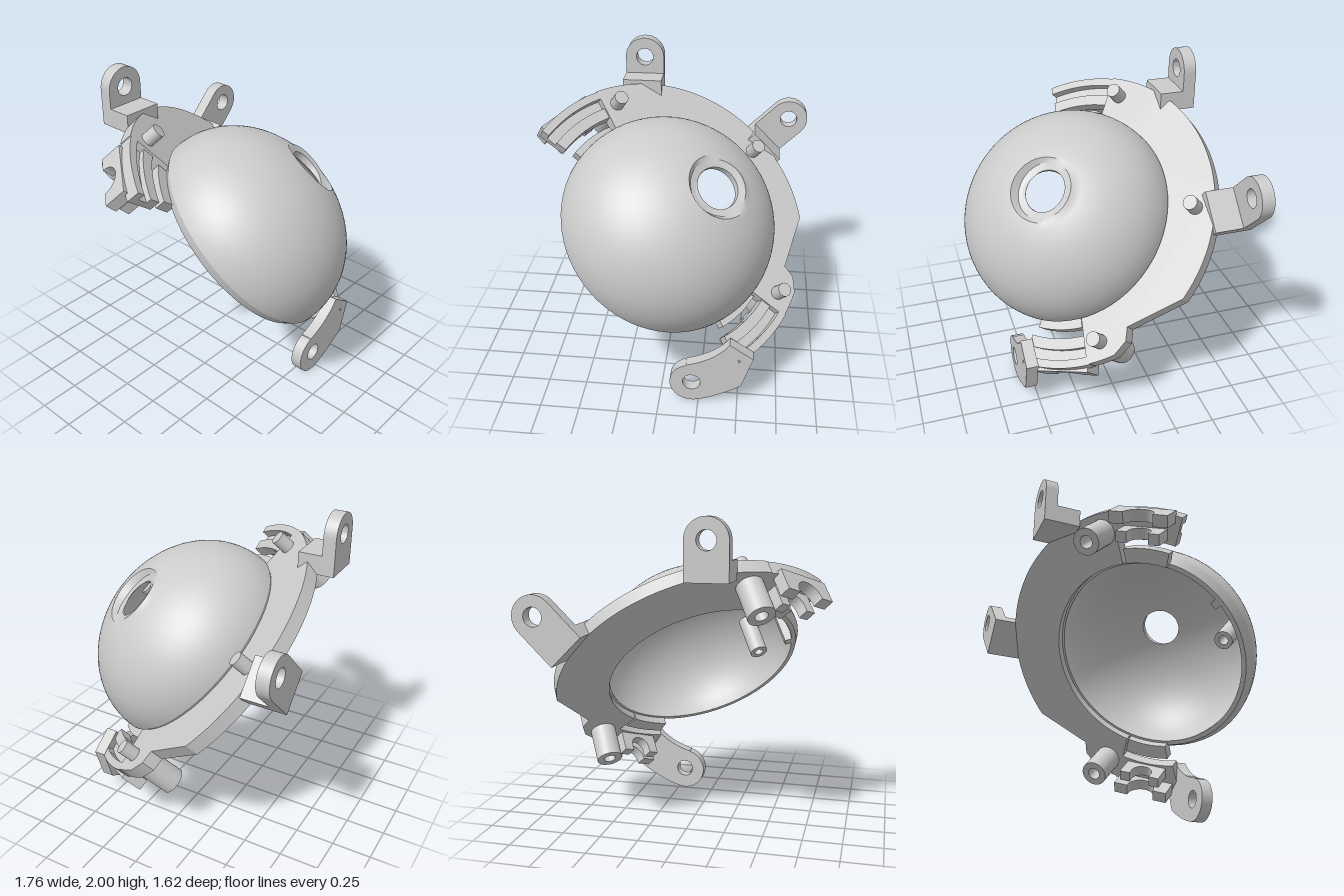
import * as THREE from 'three';
import { toCreasedNormals } from 'three/addons/utils/BufferGeometryUtils.js';

const grey = new THREE.MeshStandardMaterial({ color: 0xcccccc, side: THREE.DoubleSide });
const rad = THREE.MathUtils.degToRad;

function add(parent, name, geometry) {
  const mesh = new THREE.Mesh(geometry, grey);
  mesh.name = name;
  parent.add(mesh);
  return mesh;
}

// Extrude a shape between two heights along z
function slab(shape, z0, z1) {
  const g = new THREE.ExtrudeGeometry(shape, { depth: z1 - z0, bevelEnabled: false, curveSegments: 40 });
  return toCreasedNormals(g.translate(0, 0, z0), 0.5);
}

// Annular sector between two radii and two angles (degrees)
function sector(r0, r1, a0, a1) {
  const s = new THREE.Shape();
  s.absarc(0, 0, r1, rad(a0), rad(a1), false);
  s.absarc(0, 0, r0, rad(a1), rad(a0), true);
  return s;
}

// Closed surface through circular loops { x, y, r, z(x, y) }
function loft(loops, n = 72) {
  const pos = [], idx = [];
  for (const l of loops) {
    for (let i = 0; i < n; i++) {
      const t = (i / n) * Math.PI * 2;
      const x = l.x + l.r * Math.cos(t), y = l.y + l.r * Math.sin(t);
      pos.push(x, y, l.z(x, y));
    }
  }
  for (let j = 0; j < loops.length; j++) {
    const k = (j + 1) % loops.length;
    for (let i = 0; i < n; i++) {
      const m = (i + 1) % n;
      const a = j * n + i, b = j * n + m, c = k * n + m, d = k * n + i;
      idx.push(a, b, c, a, c, d);
    }
  }
  const g = new THREE.BufferGeometry();
  g.setAttribute('position', new THREE.Float32BufferAttribute(pos, 3));
  g.setIndex(idx);
  return toCreasedNormals(g, 0.45);
}

// Hollow flattened dome with an off-centre countersunk hole
function domeGeometry() {
  const cx = 0.134, cy = 0.03, rows = 28;
  const skin = (R, b, rHole) => {
    const out = [], k0 = rHole / R, p0 = Math.asin(k0);
    for (let i = 0; i <= rows; i++) {
      const k = Math.sin(p0 + (Math.PI / 2 - p0) * (1 - i / rows));
      const f = (1 - k) / (1 - k0);
      out.push({ x: cx * f, y: cy * f, r: R * k,
        z: (x, y) => b * Math.sqrt(Math.max(0, 1 - (x * x + y * y) / (R * R))) });
    }
    return out;
  };
  const flat = (x, y, r, z) => ({ x, y, r, z: () => z });
  return loft([
    flat(0, 0, 0.655, -0.06),
    ...skin(0.69, 0.585, 0.2),
    flat(cx, cy, 0.175, 0.535),
    flat(cx, cy, 0.13, 0.525),
    ...skin(0.635, 0.53, 0.128).reverse(),
    flat(0, 0, 0.625, -0.06),
  ]);
}

// Downward-opening hook profile, extruded along the radius
function hookGeometry(w, notch, top, bottom, r0, r1) {
  const mid = top - 0.05 - notch;
  const s = new THREE.Shape();
  s.moveTo(-w, top);
  s.lineTo(-w, bottom);
  s.lineTo(-notch, bottom);
  s.lineTo(-notch, mid);
  s.absarc(0, mid, notch, Math.PI, 0, true);
  s.lineTo(notch, bottom);
  s.lineTo(w, bottom);
  s.lineTo(w, top);
  return slab(s, r0, r1).rotateX(Math.PI / 2).rotateZ(Math.PI / 2);
}

// Rounded lug with an eye at the origin and a square foot below
function lugShape(r, length) {
  const s = new THREE.Shape();
  s.moveTo(-r, -length);
  s.lineTo(r, -length);
  s.absarc(0, 0, r, 0, Math.PI, false);
  s.closePath();
  s.holes.push(new THREE.Path().absarc(0, 0, 0.057, 0, Math.PI * 2, true));
  return s;
}

// Lug plus a shelf running forward from its foot
function bracket(parent, name, x, y, turn, length, zBack, zFront, shelfFront, thick) {
  const g = new THREE.Group();
  g.name = name;
  g.position.set(x, y, 0);
  g.rotation.z = turn;
  parent.add(g);
  add(g, 'lug', slab(lugShape(0.128, length), zBack, zFront));
  const depth = shelfFront - zFront;
  add(g, 'shelf', new THREE.BoxGeometry(0.256, thick, depth)
    .translate(0, -length + thick / 2, zFront + depth / 2));
}

export function createModel() {
  const model = new THREE.Group();
  model.name = 'domeMount';

  // Tilted frame: local z is the dome axis
  const tilted = new THREE.Group();
  tilted.name = 'tiltedAssembly';
  const N = new THREE.Vector3(0.416, 0.688, 0.594).normalize();
  const U = new THREE.Vector3(0.819, 0, -0.574).normalize();
  const V = new THREE.Vector3().crossVectors(N, U).normalize();
  tilted.quaternion.setFromRotationMatrix(new THREE.Matrix4().makeBasis(U, V, N));
  tilted.position.set(0.007, 1.05, 0.155);
  model.add(tilted);

  add(tilted, 'dome', domeGeometry());

  // Flange plate around one side of the dome
  const top = -0.02, bottom = -0.11;
  const plate = new THREE.Shape();
  plate.absarc(0, 0, 0.98, rad(99), rad(-11.5), true);
  plate.lineTo(0.71, -0.48);
  plate.lineTo(0.74, -0.56);
  plate.absarc(0, 0, 0.97, rad(-43), rad(-54), true);
  plate.absarc(0, 0, 0.64, rad(-54), rad(99), false);
  add(tilted, 'flange', slab(plate, bottom, top));

  // Locating pegs on top
  for (const a of [93, 23, -47]) {
    add(tilted, 'peg', new THREE.CylinderGeometry(0.045, 0.045, 0.12, 24).rotateX(Math.PI / 2))
      .position.set(0.86 * Math.cos(rad(a)), 0.86 * Math.sin(rad(a)), 0.02);
  }

  // Hollow screw bosses: lathe turned to run along z
  const boss = (name, r, hole, z0, z1, x, y) => {
    const p = [[0, z1], [r, z1], [r, z0], [hole, z0], [hole, z1 - 0.03], [0, z1 - 0.03]];
    const g = new THREE.LatheGeometry(p.map(([a, b]) => new THREE.Vector2(a, b)), 32);
    add(tilted, name, toCreasedNormals(g.rotateX(Math.PI / 2), 0.5)).position.set(x, y, 0);
  };
  for (const a of [93, -47]) {
    boss('screwBoss', 0.085, 0.04, -0.34, -0.1, 0.86 * Math.cos(rad(a)), 0.86 * Math.sin(rad(a)));
  }
  boss('innerBoss', 0.06, 0.03, 0.06, 0.34, -0.48, -0.06);

  // Rib on the inner wall of the dome
  const rib = add(tilted, 'innerRib', new THREE.BoxGeometry(0.06, 0.05, 0.24));
  rib.position.set(0.61 * Math.cos(rad(160)), 0.61 * Math.sin(rad(160)), 0.06);
  rib.rotation.z = rad(160);

  // Grooved tracks, inner strips and hooks at both ends of the flange
  for (const a of [113, -67]) {
    const end = new THREE.Group();
    end.name = 'trackEnd';
    end.rotation.z = rad(a);
    tilted.add(end);
    add(end, 'trackBase', slab(sector(0.79, 0.975, -14, 14), bottom, -0.07));
    add(end, 'outerLip', slab(sector(0.925, 0.975, -14, 14), -0.08, top));
    add(end, 'innerLip', slab(sector(0.79, 0.86, -14, 14), -0.08, -0.035));
    add(end, 'innerStrip', slab(sector(0.64, 0.735, -12, 12), bottom, -0.04));
    add(end, 'outerHook', hookGeometry(0.19, 0.095, -0.09, -0.24, 0.91, 0.985));
    add(end, 'innerHook', hookGeometry(0.14, 0.07, -0.09, -0.25, 0.8, 0.87));
  }

  // Upright mounting brackets
  bracket(model, 'topBracket', -0.238, 1.872, 0, 0.232, -0.73, -0.65, -0.5, 0.12);
  bracket(model, 'sideBracket', 0.755, 1.435, -Math.PI / 4, 0.28, -0.81, -0.73, -0.55, 0.085);

  // Lower mounting arm
  const arm = new THREE.Shape();
  arm.moveTo(0.52, 0.14);
  arm.lineTo(0.59, 0.36);
  arm.lineTo(0.44, 0.46);
  arm.quadraticCurveTo(0.35, 0.33, 0.17, 0.28);
  arm.absarc(0.205, 0.14, 0.14, rad(105), rad(285), false);
  arm.quadraticCurveTo(0.35, 0.03, 0.52, 0.14);
  arm.holes.push(new THREE.Path().absarc(0.205, 0.145, 0.057, 0, Math.PI * 2, true));
  add(model, 'lowerArm', slab(arm, 0.515, 0.59));

  return model;
}
